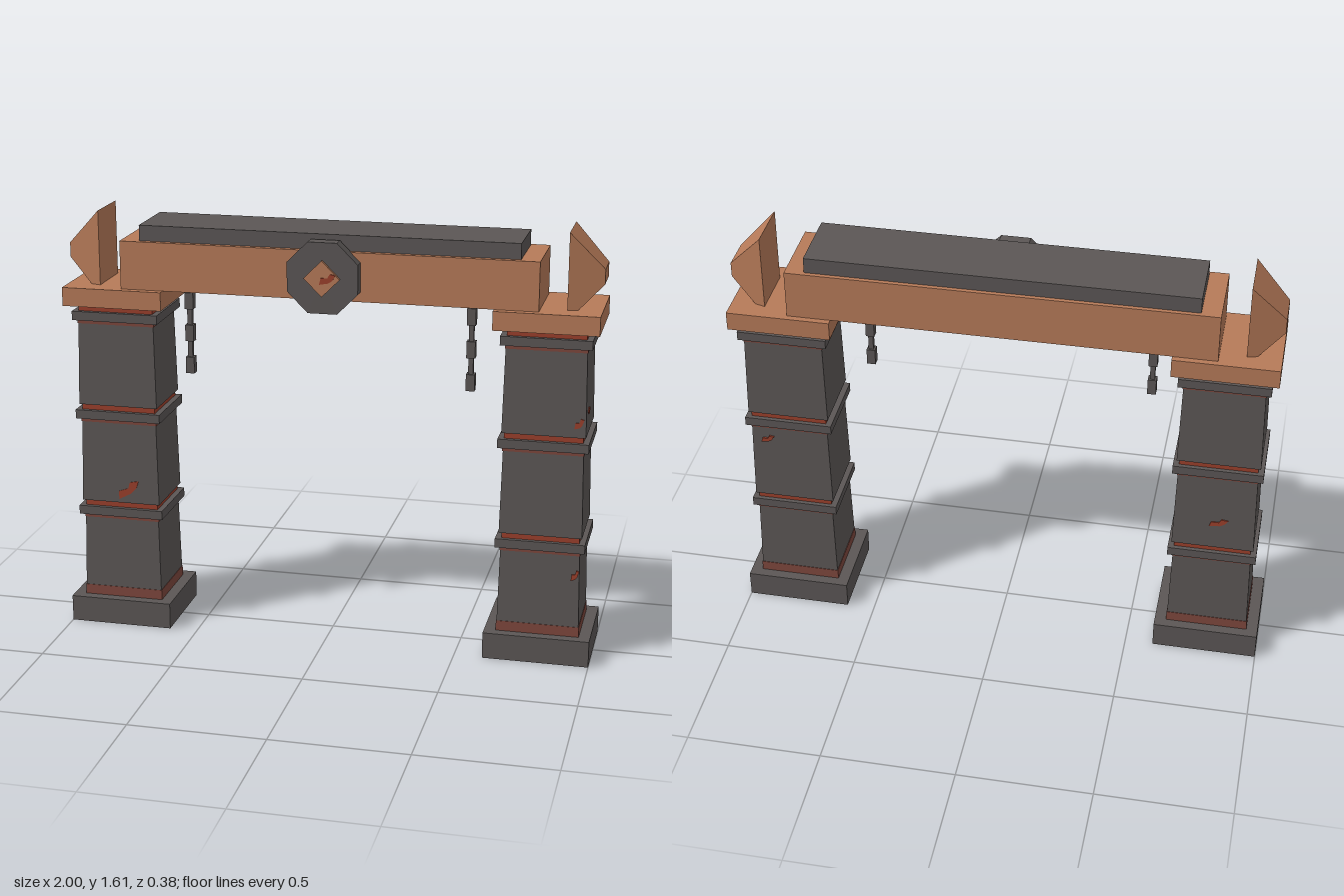
import * as THREE from 'three';

const mat = (name, color) => {
  const m = new THREE.MeshStandardMaterial({ color });
  m.name = name;
  return m;
};

export function createModel() {
  const stone = mat('darkStone', 0x5b5655);
  const copper = mat('copper', 0xb67a58);
  const rust = mat('rust', 0x9a3f2b);
  const stain = mat('dullRust', 0x7c463c);

  const gate = new THREE.Group();
  gate.name = 'gateway';

  const add = (parent, name, geometry, material, x = 0, y = 0, z = 0) => {
    const mesh = new THREE.Mesh(geometry, material);
    mesh.name = name;
    mesh.position.set(x, y, z);
    parent.add(mesh);
    return mesh;
  };

  // Box from y0 to y1, optionally narrowed at the top
  const slab = (parent, name, material, w, y0, y1, d, x = 0, z = 0, shrink = 0) => {
    const g = new THREE.BoxGeometry(w, y1 - y0, d);
    const p = g.attributes.position;
    for (let i = 0; i < p.count; i++) {
      if (p.getY(i) > 0) {
        p.setX(i, p.getX(i) * (1 - shrink / w));
        p.setZ(i, p.getZ(i) * (1 - shrink / d));
      }
    }
    g.computeVertexNormals();
    return add(parent, name, g, material, x, (y0 + y1) / 2, z);
  };

  // Four-sided block tapering outward along +z
  const finialGeometry = () => {
    const g = new THREE.BoxGeometry(0.2, 0.32, 0.126);
    const p = g.attributes.position;
    for (let i = 0; i < p.count; i++) {
      if (p.getZ(i) > 0) {
        p.setX(i, p.getX(i) * 0.64);
        p.setY(i, p.getY(i) * 0.17);
      }
    }
    g.computeVertexNormals();
    return g;
  };

  for (const s of [-1, 1]) {
    const side = s > 0 ? 'left' : 'right';

    // Post with three tapered blocks, each topped by a collar and rusty joint
    const post = new THREE.Group();
    post.name = side + 'Post';
    post.position.set(s * 0.803, 0, -0.01);
    gate.add(post);
    slab(post, 'base', stone, 0.394, 0, 0.1, 0.35);
    slab(post, 'baseStain', stain, 0.309, 0.1, 0.138, 0.274, 0, 0, 0.002);
    for (const y of [0.1, 0.485, 0.868]) {
      const top = y === 0.1 ? 0.43 : y + 0.328;
      slab(post, 'block', stone, 0.305, y, top, 0.27, 0, 0, 0.014);
      slab(post, 'blockStain', stain, 0.296, top - 0.014, top, 0.261);
      slab(post, 'collar', stone, 0.33, top, top + 0.034, 0.288);
      slab(post, 'joint', rust, 0.286, top + 0.034, top + 0.06, 0.256);
    }
    slab(post, 'cap', copper, 0.38, 1.255, 1.325, 0.338);

    // Outward-pointing finial, partly sunk in the cap
    const finial = add(gate, side + 'Finial', finialGeometry(), copper, s * 0.931, 1.445, -0.012);
    finial.rotation.y = s * Math.PI / 2;

    // Hanging chain
    const chain = new THREE.Group();
    chain.name = side + 'Chain';
    chain.position.set(s * 0.527, 0, 0.07);
    gate.add(chain);
    for (const y of [1.005, 1.128, 1.25]) {
      slab(chain, 'link', stone, 0.032, y, y + 0.062, 0.032);
    }
    slab(chain, 'chainCore', stone, 0.018, 1.01, 1.327, 0.018);
  }

  // Crossbeam and roof slab
  slab(gate, 'beam', copper, 1.546, 1.325, 1.505, 0.288, 0, -0.012);
  slab(gate, 'roofSlab', stone, 1.406, 1.505, 1.563, 0.252, 0, -0.014);

  // Octagonal medallion with a copper diamond
  const disc = new THREE.CylinderGeometry(0.141, 0.141, 0.05, 8).toNonIndexed();
  disc.rotateY(Math.PI / 8).rotateX(Math.PI / 2);
  disc.computeVertexNormals();
  add(gate, 'medallion', disc, stone, 0, 1.415, 0.15);
  const diamond = new THREE.BoxGeometry(0.094, 0.094, 0.024).rotateZ(Math.PI / 4);
  add(gate, 'diamond', diamond, copper, 0, 1.415, 0.175);

  // Thin ragged rust flecks: position, length, height, tilt, turn
  const fleck = (x, y, z, w, h, tilt, turn) => {
    const outline = [[-0.5, -0.5], [0.05, -0.35], [0.3, -0.1], [0.5, 0.4], [0.15, 0.5], [0, 0.1], [-0.4, 0.1]];
    const shape = new THREE.Shape(outline.map(([a, b]) => new THREE.Vector2(a * w, b * h)));
    const g = new THREE.ExtrudeGeometry(shape, { depth: 0.009, bevelEnabled: false });
    g.translate(0, 0, -0.0045).rotateZ(tilt);
    add(gate, 'rustFleck', g, rust, x, y, z).rotation.y = turn;
  };
  const H = Math.PI / 2;
  fleck(-0.77, 0.54, 0.122, 0.1, 0.05, 0.35, 0);
  fleck(0.93, 0.92, 0.122, 0.035, 0.04, 0, 0);
  fleck(0.935, 0.34, 0.122, 0.03, 0.04, 0, 0);
  fleck(0.022, 1.415, 0.187, 0.06, 0.04, 0, 0);
  fleck(0.952, 0.95, 0.042, 0.045, 0.04, -0.8, H);
  fleck(0.95, 1.175, -0.06, 0.08, 0.03, 0, H);
  fleck(-0.82, 0.6, -0.142, 0.07, 0.035, 0, 2 * H);
  fleck(0.89, 0.75, -0.142, 0.05, 0.03, 0, 2 * H);

  return gate;
}
